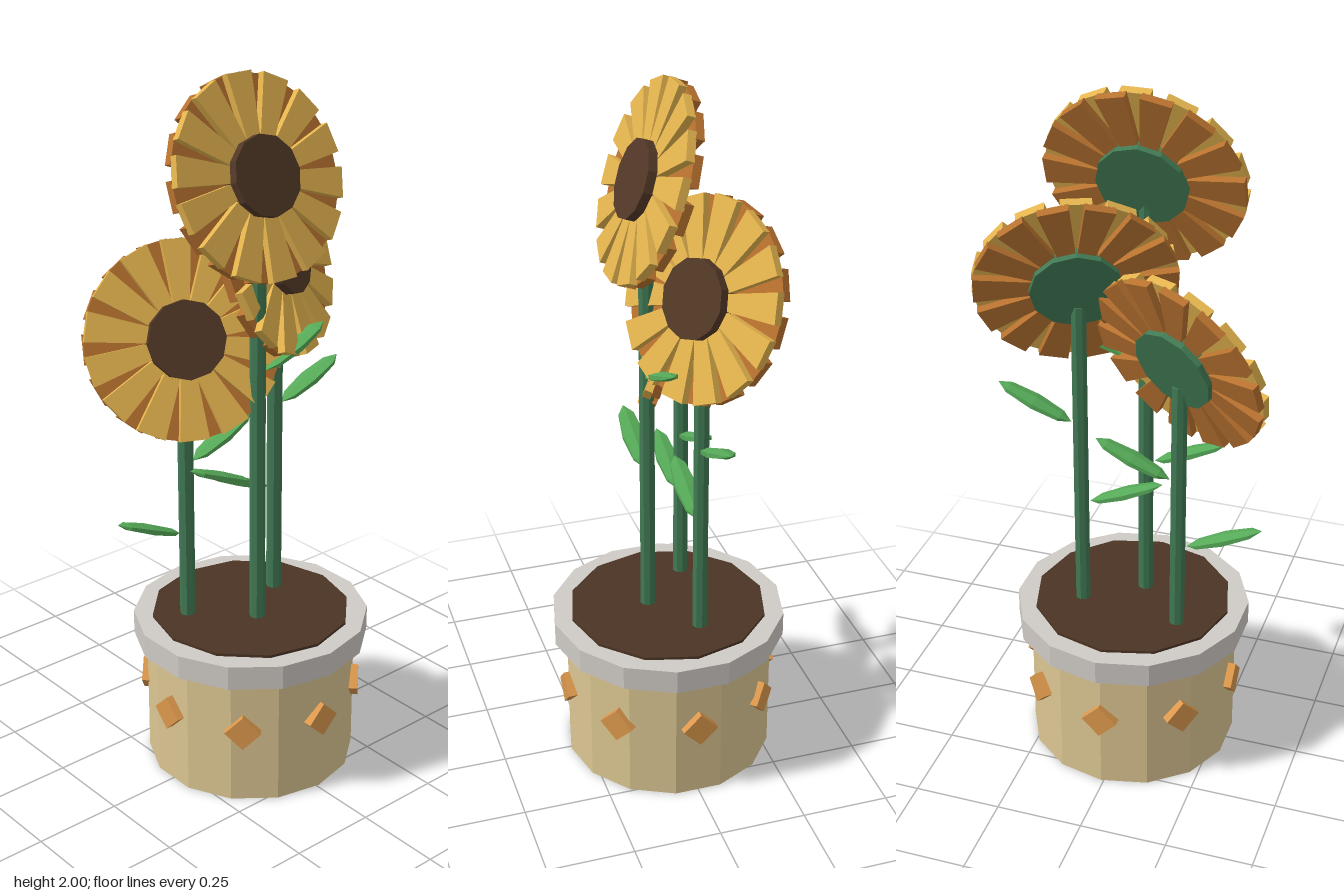
import * as THREE from 'three';

const mat = (name, color) => {
  const m = new THREE.MeshStandardMaterial({ color });
  m.name = name;
  m.flatShading = true;
  return m;
};

export function createModel() {
  const clay = mat('clay', 0xdcc692);
  const rimGrey = mat('rimGrey', 0xcfcac5);
  const soilBrown = mat('soilBrown', 0x4c3424);
  const seedBrown = mat('seedBrown', 0x523826);
  const gold = mat('gold', 0xe4b44e);
  const amber = mat('amber', 0xb8722f);
  const tileOrange = mat('tileOrange', 0xdc984c);
  const stemGreen = mat('stemGreen', 0x417a54);
  const leafGreen = mat('leafGreen', 0x56aa58);

  const model = new THREE.Group();
  const add = (parent, name, geometry, material, x = 0, y = 0, z = 0) => {
    const mesh = new THREE.Mesh(geometry, material);
    mesh.name = name;
    mesh.position.set(x, y, z);
    parent.add(mesh);
    return mesh;
  };

  // Pot with rim, soil and a ring of diamond tiles
  const pot = new THREE.Group();
  pot.name = 'pot';
  pot.position.x = 0.008;
  model.add(pot);
  add(pot, 'potBody', new THREE.CylinderGeometry(0.3, 0.3, 0.39, 14), clay, 0, 0.195, 0);
  add(pot, 'potRim', new THREE.CylinderGeometry(0.337, 0.337, 0.07, 14), rimGrey, 0, 0.417, 0);
  add(pot, 'soil', new THREE.CylinderGeometry(0.285, 0.285, 0.04, 12), soilBrown, 0, 0.44, 0);
  for (let i = 0; i < 8; i++) {
    const a = (i * Math.PI) / 4;
    const tile = add(pot, 'diamondTile', new THREE.BoxGeometry(0.072, 0.072, 0.03), tileOrange,
      0.3 * Math.sin(a), 0.227, 0.3 * Math.cos(a));
    tile.rotation.set(0, a, Math.PI / 4, 'YXZ');
  }

  // Petal: a thick wedge, narrow at the centre and wide at the tip
  const petalShape = new THREE.Shape([
    new THREE.Vector2(-0.02, 0.08), new THREE.Vector2(0.02, 0.08),
    new THREE.Vector2(0.041, 0.271), new THREE.Vector2(-0.041, 0.271),
  ]);
  const petalGeo = new THREE.ExtrudeGeometry(petalShape, { depth: 0.024, bevelEnabled: false });
  const discGeo = (r, h) => new THREE.CylinderGeometry(r, r, h, 12).rotateX(Math.PI / 2);
  const seedGeo = discGeo(0.108, 0.05);
  const calyxGeo = discGeo(0.125, 0.034);
  const COUNT = 14;

  const flowerHead = (parent, [x, y, z], yaw) => {
    const head = new THREE.Group();
    head.name = 'flowerHead';
    head.position.set(x, y, z);
    head.rotation.set(-0.345, yaw, 0, 'YXZ');
    parent.add(head);
    for (let i = 0; i < COUNT; i++) {
      const step = (2 * Math.PI) / COUNT;
      add(head, 'frontPetal', petalGeo, gold, 0, 0, -0.001).rotation.z = i * step;
      add(head, 'backPetal', petalGeo, amber, 0, 0, -0.023).rotation.z = (i + 0.5) * step;
    }
    add(head, 'seedDisc', seedGeo, seedBrown, 0, 0, 0.023);
    add(head, 'calyx', calyxGeo, stemGreen, 0, 0, -0.023);
  };

  // Leaf: a flattened low-poly ellipsoid lying along x
  const leafGeo = new THREE.SphereGeometry(1, 6, 4).rotateZ(Math.PI / 2).scale(0.116, 0.014, 0.036);

  const flowers = [
    { name: 'middleFlower', x: -0.013, z: 0.053, head: [-0.012, 1.741, 0.047], yaw: 0, low: 0.937, high: 1.25 },
    { name: 'leftFlower', x: 0.143, z: -0.053, head: [0.148, 1.467, -0.055], yaw: 0.41, low: 0.837, high: 1.083 },
    { name: 'rightFlower', x: -0.152, z: -0.09, head: [-0.154, 1.293, -0.088], yaw: -0.43, low: 0.768, high: 0.975 },
  ];
  for (const f of flowers) {
    const flower = new THREE.Group();
    flower.name = f.name;
    model.add(flower);
    const top = f.head[1] - 0.07;
    add(flower, 'stem', new THREE.CylinderGeometry(0.022, 0.022, top - 0.43, 8), stemGreen,
      f.x, (top + 0.43) / 2, f.z);
    for (const [side, y] of [[-1, f.low], [1, f.high]]) {
      add(flower, 'leaf', leafGeo, leafGreen, f.x + side * 0.132, y, f.z).rotation.z = side * 0.41;
    }
    flowerHead(flower, f.head, f.yaw);
  }
  return model;
}
